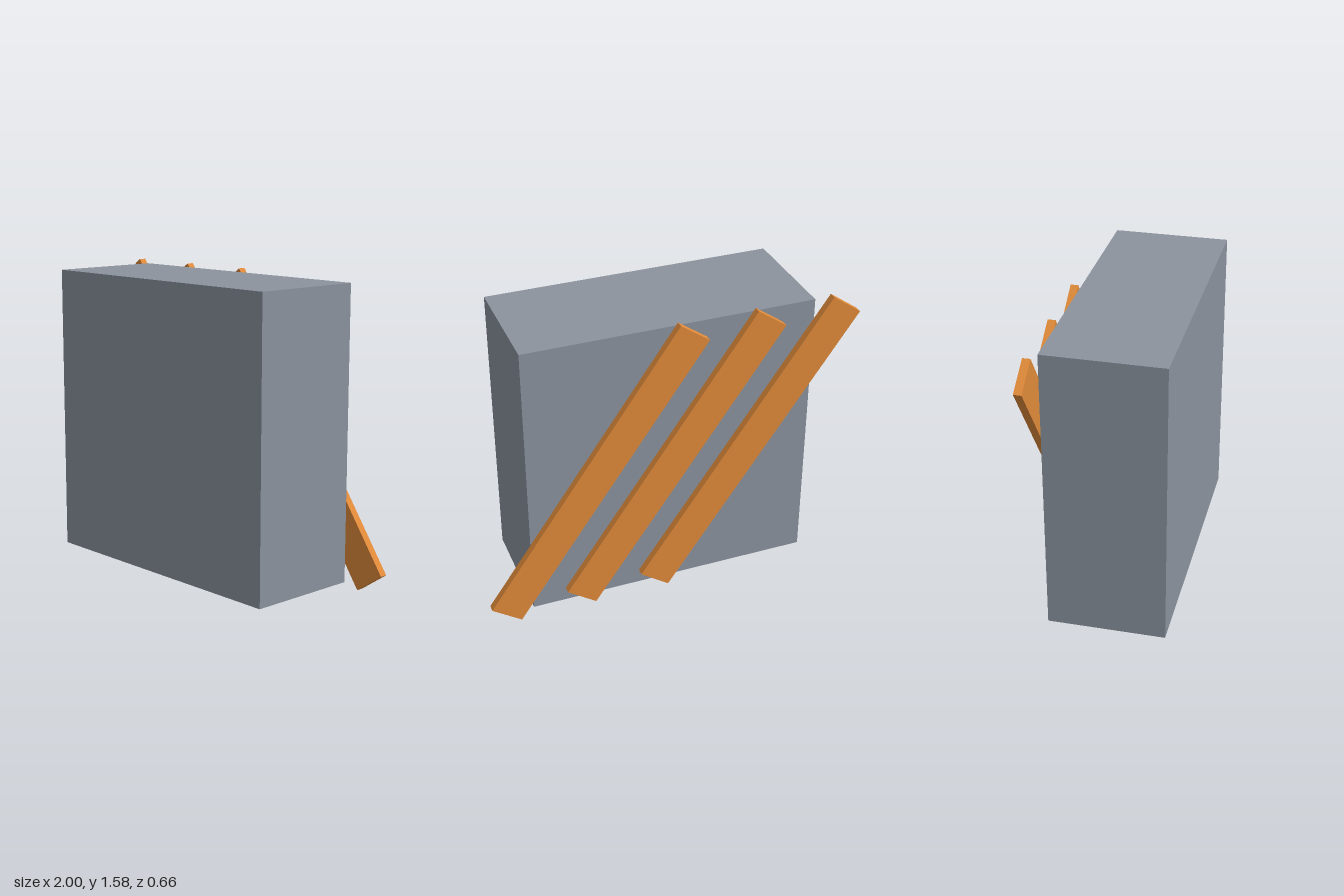
import * as THREE from 'three';

export function createModel() {
  const model = new THREE.Group();
  const midY = 0.788;

  function addBox(name, size, position, material) {
    const mesh = new THREE.Mesh(new THREE.BoxGeometry(...size), material);
    mesh.name = name;
    mesh.position.set(...position);
    model.add(mesh);
    return mesh;
  }

  // Solid block
  const blockMaterial = new THREE.MeshStandardMaterial({ color: 0x8b939e });
  addBox('block', [1.533, 1.533, 0.613], [0, midY + 0.003, 0.023], blockMaterial);

  // Three parallel slanted planks just behind the block
  const plankMaterial = new THREE.MeshStandardMaterial({ color: 0xe08a3a });
  ['right', 'middle', 'left'].forEach((side, i) => {
    const plank = addBox(side + 'Plank', [0.187, 1.793, 0.04], [(i - 1) * 0.41, midY, -0.31], plankMaterial);
    plank.rotation.z = THREE.MathUtils.degToRad(35);
  });

  return model;
}
